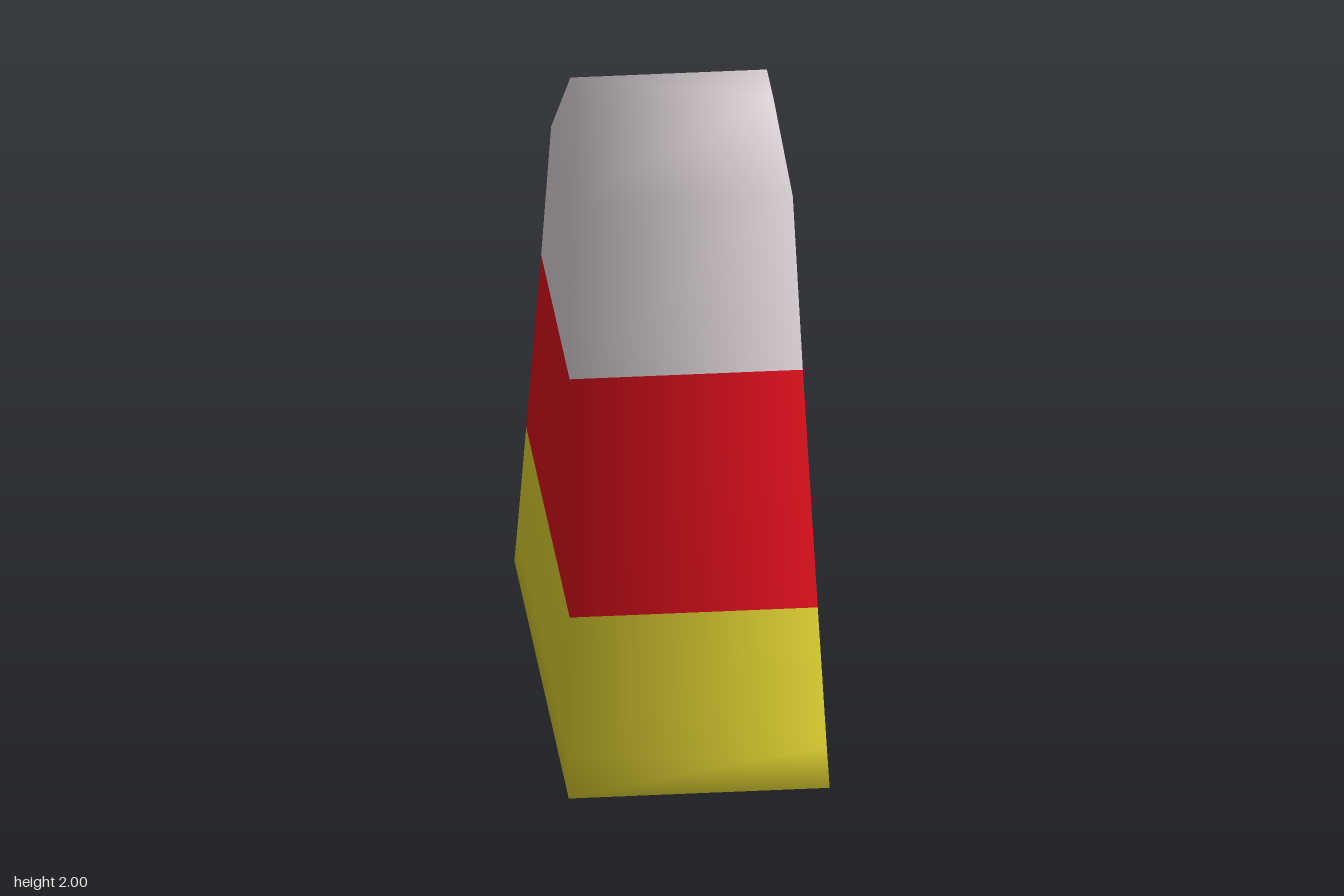
import * as THREE from 'three';

// Cross-sections from floor to tip: height, half width, half depth, upward lean of the normal
const RINGS = [
  [0, 0.405, 0.87, -0.6],
  [0.12, 0.4, 0.83, 0.05],
  [0.535, 0.385, 0.695, 0.07],
  [1.235, 0.362, 0.455, 0.08],
  [1.75, 0.347, 0.29, 0.15],
  [2, 0.305, 0.107, 0.5],
];
// Counter-clockwise as seen from above
const CORNERS = [[1, 1], [1, -1], [-1, -1], [-1, 1]];

// Loft through a run of rings, with optional end caps and soft corner normals
function createBand(name, color, rings, capBottom, capTop) {
  const positions = [], normals = [], index = [];
  for (const [y, hx, hz, lean] of rings) {
    for (const [sx, sz] of CORNERS) {
      positions.push(sx * hx, y, sz * hz);
      const n = new THREE.Vector3(sx * 0.95, lean, sz * 0.28).normalize();
      normals.push(n.x, n.y, n.z);
    }
  }
  for (let r = 0; r < rings.length - 1; r++) {
    for (let i = 0; i < 4; i++) {
      const a = r * 4 + i, b = r * 4 + (i + 1) % 4;
      index.push(a, b, b + 4, a, b + 4, a + 4);
    }
  }
  if (capBottom) index.push(0, 2, 1, 0, 3, 2);
  if (capTop) {
    const t = (rings.length - 1) * 4;
    index.push(t, t + 1, t + 2, t, t + 2, t + 3);
  }
  const geometry = new THREE.BufferGeometry();
  geometry.setAttribute('position', new THREE.Float32BufferAttribute(positions, 3));
  geometry.setAttribute('normal', new THREE.Float32BufferAttribute(normals, 3));
  geometry.setIndex(index);
  const mesh = new THREE.Mesh(geometry, new THREE.MeshStandardMaterial({ color }));
  mesh.name = name;
  return mesh;
}

export function createModel() {
  const group = new THREE.Group();
  group.name = 'stripedCandy';
  group.add(
    createBand('yellowBase', 0xe0d432, RINGS.slice(0, 3), true, false),
    createBand('redMiddle', 0xe0101c, RINGS.slice(2, 4), false, false),
    createBand('whiteTip', 0xe0d6db, RINGS.slice(3), false, true),
  );
  return group;
}
